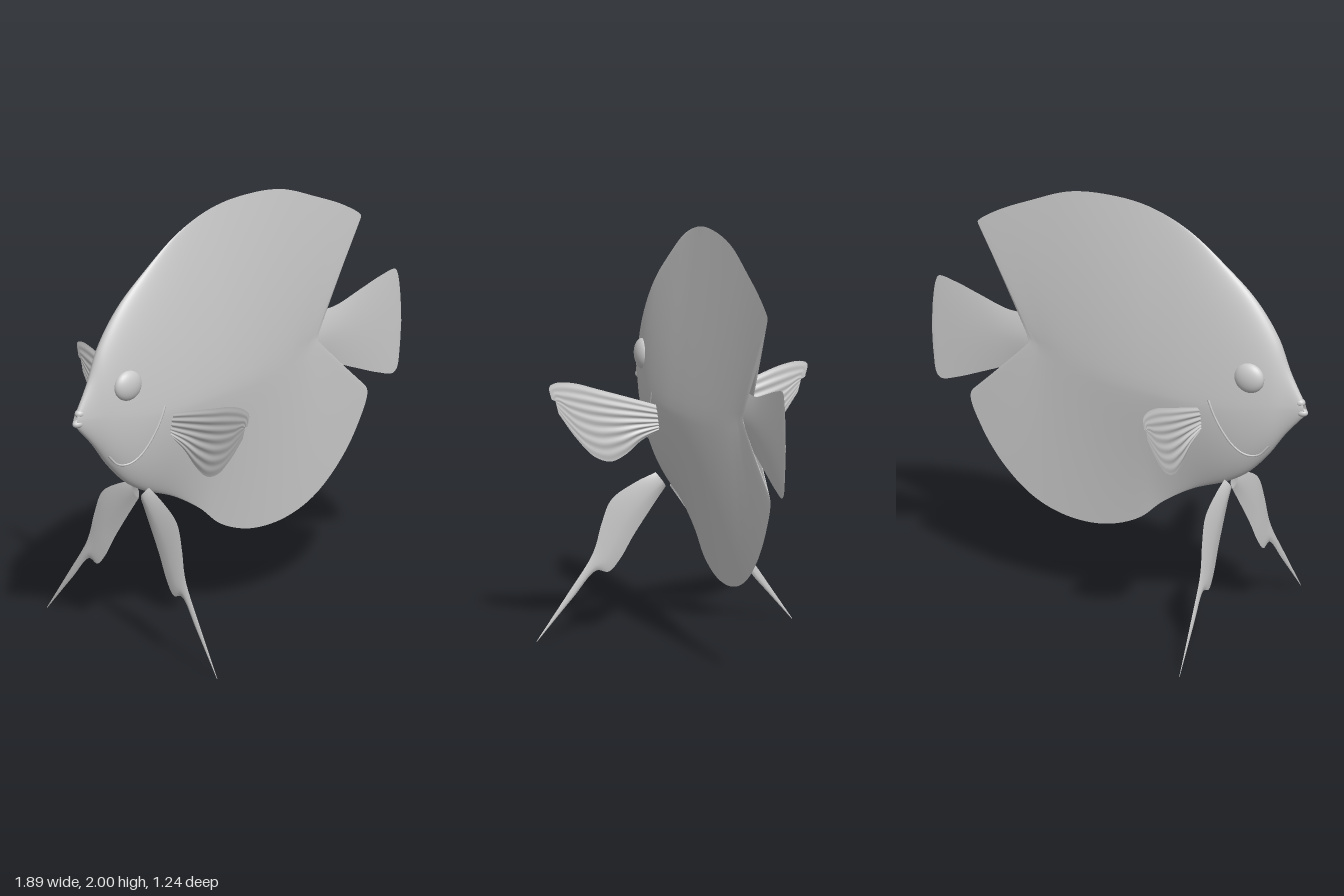
import * as THREE from 'three';

const material = new THREE.MeshStandardMaterial({ color: 0xcccccc, side: THREE.DoubleSide });

// Cross-section profiles over v = -1 (lower edge) .. 0 (spine) .. 1 (upper edge)
const finProfile = (v) => 1 - Math.abs(v) ** 1.8;
const ribbedProfile = (v) => (1 - v ** 4) * (0.75 + 0.25 * Math.cos(22 * v));
function bodyProfile(v, x) {
  const k = THREE.MathUtils.smoothstep(x, -0.85, -0.15);
  return (1 - k) * Math.sqrt(Math.max(0, 1 - v * v)) + k * (1 - Math.abs(v) ** 1.45);
}

// Lens-shaped sheet lofted through stations
// [spineX, spineY, halfThickness, upperX, upperY, lowerX, lowerY]
function loft(stations, profile, nu, nv) {
  const curve = (f) => new THREE.CatmullRomCurve3(stations.map(f), false, 'centripetal');
  const spine = curve((s) => new THREE.Vector3(s[0], s[1], s[2]));
  const upper = curve((s) => new THREE.Vector3(s[3], s[4], 0));
  const lower = curve((s) => new THREE.Vector3(s[5], s[6], 0));
  const pos = [], idx = [];
  for (const side of [1, -1]) {
    const base = pos.length / 3;
    for (let i = 0; i <= nu; i++) {
      const c = spine.getPoint(i / nu), u = upper.getPoint(i / nu), l = lower.getPoint(i / nu);
      for (let j = 0; j <= nv; j++) {
        const v = Math.sin((j / nv - 0.5) * Math.PI);
        const p = c.clone().lerp(v > 0 ? u : l, Math.abs(v));
        pos.push(p.x, p.y, side * Math.max(0, c.z) * Math.max(0, profile(v, p.x)));
        if (i < nu && j < nv) {
          const a = base + i * (nv + 1) + j, b = a + nv + 1;
          if (side > 0) idx.push(a, b, a + 1, b, b + 1, a + 1);
          else idx.push(a, a + 1, b, b, a + 1, b + 1);
        }
      }
    }
  }
  const g = new THREE.BufferGeometry();
  g.setAttribute('position', new THREE.Float32BufferAttribute(pos, 3));
  g.setIndex(idx);
  g.computeVertexNormals();
  return g;
}

// Disc body with dorsal and anal fins; the last stations fan round the fin tips
const bodyStations = [
  [-0.935, 1.14, 0.014, -0.93, 1.17, -0.945, 1.115],
  [-0.86, 1.14, 0.035, -0.86, 1.31, -0.84, 1.0],
  [-0.78, 1.14, 0.065, -0.80, 1.46, -0.75, 0.88],
  [-0.69, 1.13, 0.085, -0.69, 1.62, -0.65, 0.78],
  [-0.55, 1.12, 0.10, -0.55, 1.75, -0.55, 0.72],
  [-0.36, 1.12, 0.103, -0.35, 1.90, -0.37, 0.65],
  [-0.17, 1.13, 0.092, -0.15, 1.98, -0.22, 0.56],
  [0.0, 1.14, 0.076, 0.05, 2.0, -0.10, 0.46],
  [0.15, 1.16, 0.058, 0.25, 1.98, 0.07, 0.40],
  [0.27, 1.18, 0.042, 0.45, 1.90, 0.26, 0.405],
  [0.35, 1.2, 0.03, 0.60, 1.83, 0.43, 0.47],
  [0.39, 1.21, 0.024, 0.70, 1.765, 0.58, 0.60],
  [0.41, 1.22, 0.022, 0.71, 1.75, 0.69, 0.76],
  [0.42, 1.22, 0.021, 0.67, 1.68, 0.745, 0.91],
  [0.43, 1.23, 0.02, 0.62, 1.57, 0.70, 0.965],
  [0.44, 1.23, 0.019, 0.55, 1.45, 0.58, 1.03],
  [0.45, 1.23, 0.018, 0.45, 1.355, 0.45, 1.105],
];
const tailStations = [
  [0.43, 1.23, 0.019, 0.44, 1.35, 0.44, 1.11],
  [0.54, 1.23, 0.015, 0.56, 1.355, 0.53, 1.09],
  [0.67, 1.22, 0.011, 0.70, 1.40, 0.67, 1.035],
  [0.80, 1.21, 0.007, 0.82, 1.44, 0.81, 0.98],
  [0.88, 1.2, 0.004, 0.905, 1.455, 0.89, 0.96],
  [0.91, 1.2, 0.003, 0.92, 1.43, 0.915, 0.98],
  [0.93, 1.2, 0.002, 0.935, 1.33, 0.932, 1.08],
  [0.94, 1.2, 0.001, 0.94, 1.21, 0.94, 1.19],
];
// Paired fins: x runs outward from the body, y is relative to the fin root
const pectoralStations = [
  [0.08, -0.01, 0.017, 0.08, 0.06, 0.08, -0.05],
  [0.2, 0.0, 0.017, 0.22, 0.11, 0.17, -0.09],
  [0.32, 0.01, 0.014, 0.38, 0.165, 0.25, -0.15],
  [0.42, 0.03, 0.011, 0.50, 0.205, 0.32, -0.175],
  [0.51, 0.07, 0.007, 0.585, 0.215, 0.40, -0.145],
  [0.56, 0.11, 0.004, 0.62, 0.20, 0.49, -0.05],
  [0.59, 0.13, 0.002, 0.61, 0.14, 0.575, 0.07],
];
const pelvicStations = [
  [0.03, -0.05, 0.016, 0.06, -0.01, 0.01, -0.08],
  [0.12, -0.13, 0.012, 0.16, -0.05, 0.08, -0.18],
  [0.21, -0.23, 0.010, 0.27, -0.12, 0.16, -0.30],
  [0.26, -0.33, 0.009, 0.315, -0.23, 0.225, -0.41],
  [0.30, -0.40, 0.008, 0.34, -0.33, 0.275, -0.46],
  [0.35, -0.43, 0.007, 0.365, -0.39, 0.335, -0.45],
  [0.46, -0.57, 0.005, 0.475, -0.555, 0.445, -0.57],
  [0.613, -0.76, 0.001, 0.615, -0.76, 0.611, -0.76],
];

export function createModel() {
  const model = new THREE.Group();
  const add = (name, geometry, parent = model) => {
    const mesh = new THREE.Mesh(geometry, material);
    mesh.name = name;
    parent.add(mesh);
    return mesh;
  };
  const ellipsoid = (name, p, r) => {
    const mesh = add(name, new THREE.SphereGeometry(1, 28, 18));
    mesh.position.set(...p);
    mesh.scale.set(...r);
  };

  const body = add('body', loft(bodyStations, bodyProfile, 128, 56));
  add('tailFin', loft(tailStations, finProfile, 56, 28));
  ellipsoid('upperLip', [-0.91, 1.165, 0], [0.026, 0.02, 0.021]);
  ellipsoid('lowerLip', [-0.92, 1.118, 0], [0.03, 0.019, 0.021]);

  // Gill cover edge, laid onto the flank
  const ray = new THREE.Raycaster();
  const gillPath = [[-0.5, 1.14], [-0.54, 1.04], [-0.6, 0.94], [-0.66, 0.89], [-0.72, 0.89], [-0.77, 0.94]];
  const gillPoints = new THREE.SplineCurve(gillPath.map((p) => new THREE.Vector2(...p))).getPoints(24)
    .map(({ x, y }) => {
      ray.set(new THREE.Vector3(x, y, 1), new THREE.Vector3(0, 0, -1));
      const hit = ray.intersectObject(body)[0];
      return new THREE.Vector3(x, y, hit ? hit.point.z - 0.002 : 0.03);
    });

  for (const side of [1, -1]) {
    const label = side > 0 ? 'left' : 'right';
    ellipsoid(label + 'Eye', [-0.69, 1.27, side * 0.07], [0.075, 0.072, 0.038]);

    const path = new THREE.CatmullRomCurve3(gillPoints.map((p) => new THREE.Vector3(p.x, p.y, side * p.z)));
    add(label + 'GillEdge', new THREE.TubeGeometry(path, 48, 0.006, 8));

    const pectoral = add(label + 'PectoralFin', loft(pectoralStations, ribbedProfile, 36, 64));
    pectoral.position.set(-0.45, 1.025, 0);
    pectoral.rotation.y = -side * (Math.PI / 2 - 0.03);

    // Pelvic fins trail slightly toward the head
    const pelvic = new THREE.Group();
    pelvic.name = label + 'PelvicFin';
    pelvic.position.set(-0.56, 0.76, 0);
    pelvic.rotation.z = -0.066;
    add(label + 'PelvicFinBlade', loft(pelvicStations, finProfile, 56, 16), pelvic).rotation.y = -side * Math.PI / 2;
    model.add(pelvic);
  }
  return model;
}
